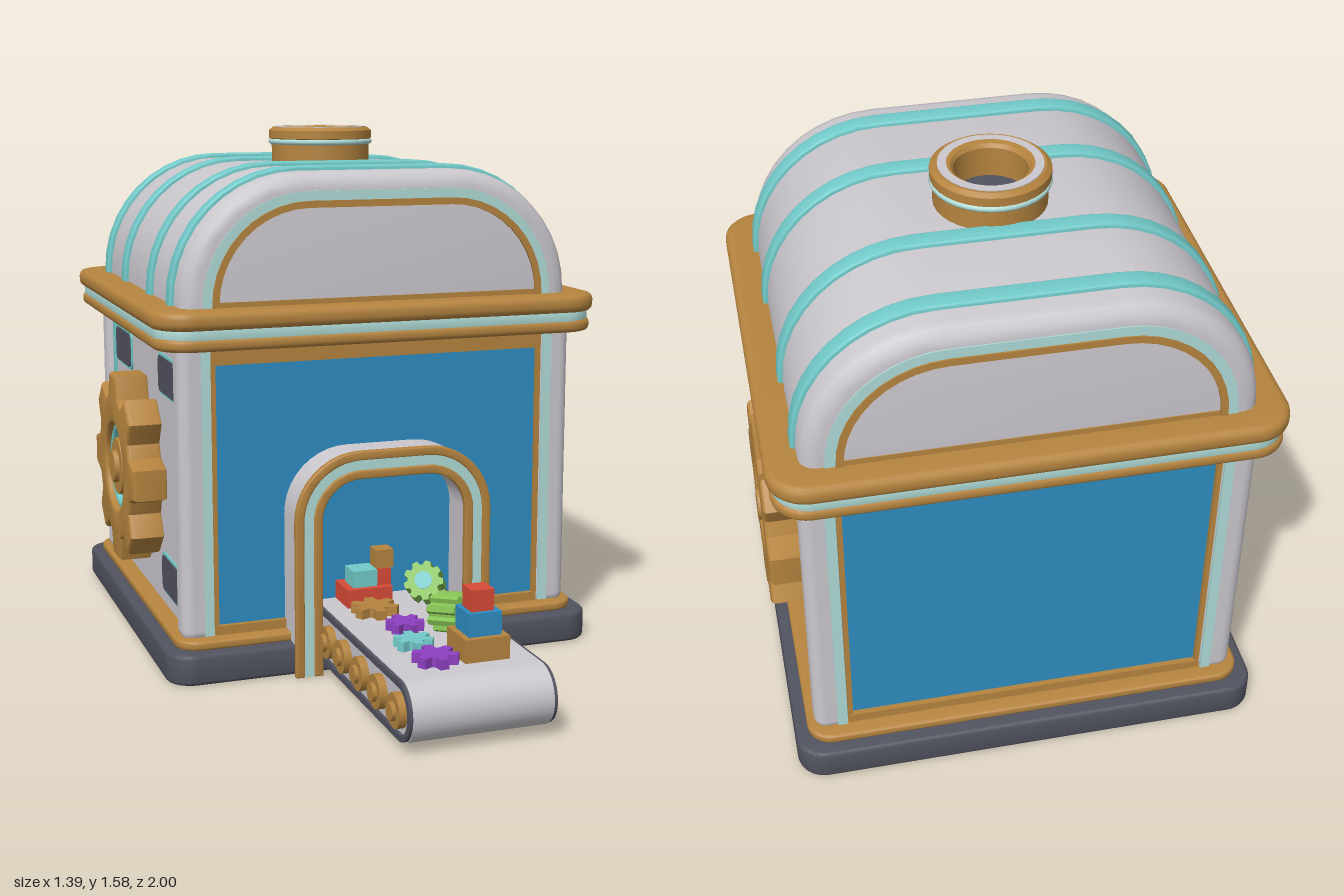
import * as THREE from 'three';
import { toCreasedNormals } from 'three/addons/utils/BufferGeometryUtils.js';
import { RoundedBoxGeometry } from 'three/addons/geometries/RoundedBoxGeometry.js';

const paint = (name, color) => {
  const m = new THREE.MeshStandardMaterial({ color });
  m.name = name;
  return m;
};
const silver = paint('silver', 0xcbc8ce), bronze = paint('bronze', 0xb5843f);
const blue = paint('blue', 0x2e8dc2), teal = paint('teal', 0x72cbca);
const pale = paint('paleTeal', 0xb0dcd8), dark = paint('darkGrey', 0x50525e);
const red = paint('red', 0xd84a38), green = paint('green', 0x86c455), purple = paint('purple', 0x8e3fc0);

const CZ = -0.35; // middle of the building in z

function add(parent, name, geo, mat, x = 0, y = 0, z = 0) {
  const m = new THREE.Mesh(geo, mat);
  m.name = name;
  m.position.set(x, y, z);
  parent.add(m);
  return m;
}
const box = (w, h, d) => new THREE.BoxGeometry(w, h, d);

// Extrusion whose bevel stays inside the outline and the depth
function extrude(shape, depth, b = 0, creases = 0.6) {
  const geo = new THREE.ExtrudeGeometry(shape, {
    depth: depth - 2 * b, bevelEnabled: b > 0, bevelSize: b, bevelThickness: b,
    bevelOffset: -b, bevelSegments: 3, curveSegments: 10,
  });
  geo.translate(0, 0, b);
  return toCreasedNormals(geo, creases);
}

// Arch outline from the bottom right over the top to the bottom left
function archPoints(w, top, r, y0) {
  const pts = [new THREE.Vector2(w, y0)];
  for (const side of [1, -1]) {
    for (let i = 0; i <= 10; i++) {
      const a = (side > 0 ? i / 10 : 1 + i / 10) * Math.PI / 2;
      pts.push(new THREE.Vector2(side * (w - r) + r * Math.cos(a), top - r + r * Math.sin(a)));
    }
  }
  pts.push(new THREE.Vector2(-w, y0));
  return pts;
}
const arch = (...a) => new THREE.Shape(archPoints(...a));
const archBand = (outer, inner) => new THREE.Shape([...archPoints(...outer), ...archPoints(...inner).reverse()]);

function roundedRect(w, h, r) {
  const s = new THREE.Shape();
  s.absarc(w / 2 - r, h / 2 - r, r, 0, Math.PI / 2);
  s.absarc(r - w / 2, h / 2 - r, r, Math.PI / 2, Math.PI);
  s.absarc(r - w / 2, r - h / 2, r, Math.PI, Math.PI * 1.5);
  s.absarc(w / 2 - r, r - h / 2, r, Math.PI * 1.5, Math.PI * 2);
  s.closePath();
  return s;
}

// Horizontal slab with rounded corners
const slab = (g, name, mat, w, d, r, y0, y1, b) =>
  add(g, name, extrude(roundedRect(w, d, r), y1 - y0, b).rotateX(-Math.PI / 2), mat, 0, y0, CZ);

function gearShape(root, tip, n, hole) {
  const pts = [];
  const pitch = Math.PI * 2 / n;
  for (let k = 0; k < n; k++) {
    for (const [f, r] of [[-0.38, root], [-0.2, tip], [0.2, tip], [0.38, root]]) {
      const a = (k + f) * pitch;
      pts.push(new THREE.Vector2(r * Math.cos(a), r * Math.sin(a)));
    }
  }
  const s = new THREE.Shape(pts);
  if (hole) s.holes.push(new THREE.Path().absarc(0, 0, hole, 0, Math.PI * 2, true));
  return s;
}

function buildWalls(g) {
  slab(g, 'base', dark, 1.34, 1.3, 0.08, 0, 0.092, 0.012);
  slab(g, 'baseTrim', bronze, 1.27, 1.22, 0.07, 0.09, 0.118, 0.008);
  add(g, 'walls', box(1.17, 0.9, 1.08), silver, 0, 0.55, CZ);
  for (const s of [1, -1]) {
    for (const e of [1, -1]) {
      add(g, 'cornerColumn', new RoundedBoxGeometry(0.1, 0.9, 0.1, 4, 0.035), silver, s * 0.564, 0.55, CZ + e * 0.52);
      add(g, 'columnStripe', box(0.028, 0.86, 0.009), pale, s * 0.535, 0.55, CZ + e * 0.568);
      add(g, 'sideStripe', box(0.02, 0.86, 0.022), teal, s * 0.584, 0.55, CZ + e * 0.463);
      add(g, 'panelFrameSide', box(0.014, 0.84, 0.03), bronze, s * 0.511, 0.54, CZ + e * 0.548);
    }
    // Front and back panels
    add(g, 'bluePanel', box(1.02, 0.82, 0.009), blue, 0, 0.53, CZ + s * 0.545);
    add(g, 'panelFrameTop', box(1.03, 0.06, 0.035), bronze, 0, 0.95, CZ + s * 0.548);
    add(g, 'panelFrameBottom', box(1.03, 0.03, 0.035), bronze, 0, 0.13, CZ + s * 0.548);
    // Small vents on the side walls
    for (const [y, z] of [[0.85, -0.025], [0.85, -0.66], [0.225, -0.025]]) {
      const vent = (name, w, h, t, mat) => add(g, name,
        extrude(roundedRect(w, h, 0.025), t).translate(0, 0, -t / 2).rotateY(Math.PI / 2), mat, s * 0.587, y, z);
      vent('ventRim', 0.24, 0.125, 0.008, teal);
      vent('vent', 0.225, 0.11, 0.014, dark);
    }
  }
  slab(g, 'corniceLower', bronze, 1.36, 1.27, 0.1, 0.97, 1.008, 0.014);
  slab(g, 'corniceStripe', pale, 1.35, 1.26, 0.1, 1.0, 1.036, 0.004);
  slab(g, 'corniceUpper', bronze, 1.38, 1.29, 0.11, 1.03, 1.085, 0.02);
}

function buildRoof(g) {
  const shell = arch(0.602, 1.463, 0.37, 1.0);
  shell.holes.push(new THREE.Path(archPoints(0.5, 1.37, 0.28, 1.05)));
  add(g, 'roofShell', extrude(shell, 1.13, 0.045), silver, 0, 0, -0.915);
  for (const z of [0.1, -0.165, -0.53, -0.8]) {
    const band = (o, d) => extrude(archBand([0.602 + o, 1.463 + o, 0.37 + o, 1.05], [0.56, 1.42, 0.33, 1.05]), d, 0.006)
      .translate(0, 0, -d / 2);
    add(g, 'roofRib', band(0.013, 0.055), teal, 0, 0, z);
  }
  for (const s of [1, -1]) {
    const at = (name, geo, mat, off) => add(g, name, geo, mat, 0, 0, CZ + s * off);
    at('gableWindow', extrude(arch(0.51, 1.38, 0.29, 1.05), 0.008), blue, 0.535);
    const trim = (o, i, d) => extrude(archBand([0.5 + o, 1.37 + o, 0.28 + o, 1.06], [0.5 + i, 1.37 + i, 0.28 + i, 1.06]), d)
      .translate(0, 0, -d / 2);
    at('gableTrim', trim(0.012, -0.008, 0.05), bronze, 0.548);
    at('gableStripe', trim(0.04, 0.012, 0.009), pale, 0.564);
    add(g, 'gableSill', box(1, 0.02, 0.04), bronze, 0, 1.09, CZ + s * 0.548);
  }
  // Chimney: open ring profile with a dark floor
  const profile = [[0.1, 1.44], [0.1, 1.56], [0.108, 1.57], [0.15, 1.575], [0.163, 1.565], [0.163, 1.54],
    [0.155, 1.535], [0.155, 1.44]].map(([x, y]) => new THREE.Vector2(x, y)).reverse();
  const lathe = toCreasedNormals(new THREE.LatheGeometry(profile, 32), 0.6);
  const b2 = add(g, 'chimney', lathe, bronze, 0, 0, -0.36);
  b2.material = bronze;
  bronze.side = THREE.DoubleSide;
  add(g, 'chimneyBand', new THREE.TorusGeometry(0.157, 0.009, 8, 32).rotateX(Math.PI / 2), pale, 0, 1.53, -0.36);
  add(g, 'chimneyTopRing', new THREE.CylinderGeometry(0.142, 0.142, 0.008, 32, 1, true), silver, 0, 1.573, -0.36);
  add(g, 'chimneyTopInlay', new THREE.RingGeometry(0.118, 0.142, 32).rotateX(-Math.PI / 2), silver, 0, 1.577, -0.36);
  add(g, 'chimneyFloor', new THREE.CircleGeometry(0.1, 24).rotateX(-Math.PI / 2), dark, 0, 1.475, -0.36);
}

function buildSideGear(g, s) {
  const gear = new THREE.Group();
  gear.name = 'sideGear';
  gear.position.set(s * 0.58, 0.51, -0.38);
  gear.rotation.y = s * Math.PI / 2;
  add(gear, 'gearWheel', extrude(gearShape(0.235, 0.302, 8, 0.14), 0.11, 0.014, 0.4), bronze);
  add(gear, 'gearPlate', new THREE.CylinderGeometry(0.15, 0.15, 0.06, 32).rotateX(Math.PI / 2), silver, 0, 0, 0.035);
  add(gear, 'gearRing', new THREE.TorusGeometry(0.128, 0.014, 8, 32), teal, 0, 0, 0.08);
  add(gear, 'gearHub', new THREE.CylinderGeometry(0.09, 0.105, 0.05, 16).rotateX(Math.PI / 2), bronze, 0, 0, 0.075);
  add(gear, 'gearBolt', new THREE.CylinderGeometry(0.05, 0.055, 0.02, 8).rotateX(Math.PI / 2), bronze, 0, 0, 0.105);
  g.add(gear);
}

function buildDoor(g) {
  const ring = (o, i, d, b) => extrude(archBand(
    [0.305 - o, 0.665 - o, 0.2 - o, 0], [0.305 - i, 0.665 - i, 0.2 - i, 0]), d, b);
  add(g, 'doorArch', ring(0.006, 0.078, 0.13), silver, 0, 0, 0.19);
  add(g, 'doorOuterRim', ring(0, 0.026, 0.022, 0.004), bronze, 0, 0, 0.313);
  add(g, 'doorStripe', ring(0.026, 0.056, 0.009), pale, 0, 0, 0.319);
  add(g, 'doorInnerRim', ring(0.056, 0.082, 0.022, 0.004), bronze, 0, 0, 0.313);
}

function buildConveyor(g) {
  const capsule = (r) => {
    const s = new THREE.Shape();
    s.absarc(0.915, 0.105, r, -Math.PI / 2, Math.PI / 2);
    s.lineTo(0.2, 0.105 + r);
    s.lineTo(0.2, 0.105 - r);
    s.closePath();
    return s;
  };
  const across = (shape, w) => extrude(shape, w).translate(0, 0, -w / 2).rotateY(-Math.PI / 2);
  add(g, 'belt', across(capsule(0.085), 0.4), silver);
  for (const s of [1, -1]) {
    const rim = capsule(0.082);
    rim.holes.push(new THREE.Path(capsule(0.064).getPoints(10)));
    add(g, 'beltRim', across(rim, 0.02), dark, s * 0.2);
    for (const z of [0.91, 0.765, 0.62, 0.475, 0.345]) {
      add(g, 'roller', new THREE.CylinderGeometry(0.048, 0.048, 0.03, 16).rotateZ(Math.PI / 2), bronze, s * 0.208, 0.105, z);
      add(g, 'rollerCap', new THREE.CylinderGeometry(0.026, 0.026, 0.03, 12).rotateZ(Math.PI / 2), bronze, s * 0.22, 0.105, z);
    }
  }
}

function buildToys(g) {
  // Stacked blocks: material, width, height, x, bottom, z
  for (const [mat, w, h, x, y, z] of [
    [bronze, 0.13, 0.065, 0.065, 0.19, 0.8], [blue, 0.095, 0.065, 0.065, 0.255, 0.8], [red, 0.065, 0.06, 0.063, 0.32, 0.8],
    [red, 0.14, 0.055, -0.07, 0.19, 0.25], [teal, 0.075, 0.05, -0.08, 0.245, 0.26],
    [red, 0.045, 0.05, -0.02, 0.245, 0.27], [bronze, 0.055, 0.055, -0.015, 0.295, 0.26],
  ]) add(g, 'toyBlock', box(w, h, Math.min(w, 0.13)), mat, x, y + h / 2, z);
  // Flat cogs lying on the belt
  for (const [mat, x, z, r] of [[bronze, -0.08, 0.38, 0.07], [purple, -0.05, 0.545, 0.056],
    [teal, -0.08, 0.69, 0.056], [purple, -0.07, 0.825, 0.064]]) {
    const cog = add(g, 'toyCog', extrude(gearShape(r * 0.62, r, 6), 0.03, 0, 0.3).rotateX(-Math.PI / 2), mat, x, 0.188, z);
    cog.rotation.y = x * 7;
  }
  // Ribbed green barrels with teal cores
  for (const [x, y, z, tilt, turn] of [[0.065, 0.252, 0.62, -0.15, 0.5], [0.075, 0.268, 0.385, -0.45, -0.5]]) {
    const barrel = new THREE.Group();
    barrel.name = 'toyBarrel';
    barrel.position.set(x, y, z);
    barrel.rotation.set(tilt, turn, 0, 'YXZ');
    add(barrel, 'barrelRibs', extrude(gearShape(0.046, 0.058, 9), 0.1, 0, 0.3), green, 0, 0, -0.05);
    add(barrel, 'barrelCore', new THREE.CylinderGeometry(0.026, 0.026, 0.108, 12).rotateX(Math.PI / 2), teal);
    g.add(barrel);
  }
}

export function createModel() {
  const g = new THREE.Group();
  g.name = 'toyFactory';
  buildWalls(g);
  buildRoof(g);
  for (const s of [1, -1]) buildSideGear(g, s);
  buildDoor(g);
  buildConveyor(g);
  buildToys(g);
  return g;
}
